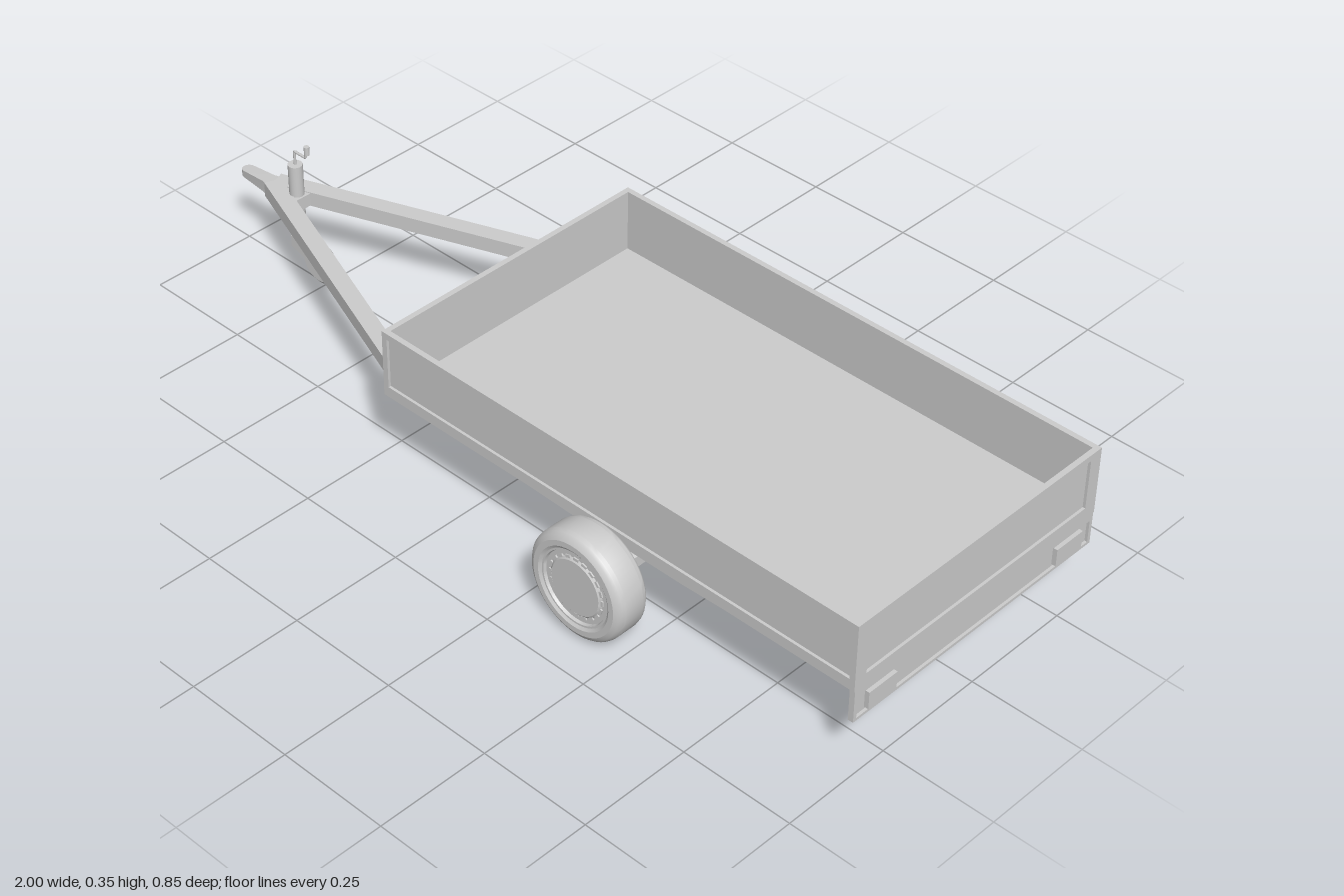
import * as THREE from 'three';
import { toCreasedNormals } from 'three/addons/utils/BufferGeometryUtils.js';

const mat = new THREE.MeshStandardMaterial({ color: 0xcccccc });

function add(parent, name, geometry, x = 0, y = 0, z = 0) {
  const mesh = new THREE.Mesh(geometry, mat);
  mesh.name = name;
  mesh.position.set(x, y, z);
  parent.add(mesh);
  return mesh;
}

const box = (w, h, d) => new THREE.BoxGeometry(w, h, d);

// Solid of revolution around the z axis, from [radius, z] pairs with z rising
function turned(profile, segments = 40) {
  const points = profile.map(([r, z]) => new THREE.Vector2(r, z));
  const g = new THREE.LatheGeometry(points, segments).rotateX(Math.PI / 2);
  return toCreasedNormals(g, 0.5);
}

// Sheet panel facing +z with a raised rim; outer face at z = 0
function framedPanel(name, w, h, side, bottom, top, thick) {
  const group = new THREE.Group();
  group.name = name;
  const shape = new THREE.Shape();
  shape.moveTo(-w / 2, 0).lineTo(w / 2, 0).lineTo(w / 2, h).lineTo(-w / 2, h).closePath();
  const a = w / 2 - side, t = h - top;
  const hole = new THREE.Path();
  hole.moveTo(-a, bottom).lineTo(-a, t).lineTo(a, t).lineTo(a, bottom).closePath();
  shape.holes.push(hole);
  const rim = new THREE.ExtrudeGeometry(shape, { depth: thick, bevelEnabled: false });
  add(group, name + 'Rim', rim, 0, 0, -thick);
  add(group, name + 'Sheet', box(2 * a, t - bottom, thick * 0.5), 0, (t + bottom) / 2, -thick * 0.75);
  return group;
}

// Square beam between two points in plan
function beam(parent, name, x0, z0, x1, z1, y, h, w) {
  const m = add(parent, name, box(Math.hypot(x1 - x0, z1 - z0), h, w), (x0 + x1) / 2, y, (z0 + z1) / 2);
  m.rotation.y = -Math.atan2(z1 - z0, x1 - x0);
  return m;
}

function buildTray() {
  const tray = new THREE.Group();
  tray.name = 'tray';
  const X0 = -0.195, X1 = 0.995, Z = 0.338, cx = (X0 + X1) / 2;
  add(tray, 'floor', box(X1 - X0 - 0.01, 0.012, 2 * Z - 0.01), cx, 0.206, 0);
  for (const s of [1, -1]) {
    const side = framedPanel('sideWall', X1 - X0, 0.152, 0.013, 0.024, 0.014, 0.012);
    side.position.set(cx, 0.199, s * Z);
    side.rotation.y = s > 0 ? 0 : Math.PI;
    const end = framedPanel(s > 0 ? 'tailgate' : 'frontWall', 2 * Z, 0.152, 0.03, 0.026, 0.014, 0.012);
    end.position.set(s > 0 ? X1 : X0, 0.199, 0);
    end.rotation.y = s * Math.PI / 2;
    tray.add(side, end);
  }
  return tray;
}

function buildChassis() {
  const chassis = new THREE.Group();
  chassis.name = 'chassis';
  for (const s of [1, -1]) {
    beam(chassis, 'sideRail', -0.19, s * 0.285, 0.95, s * 0.285, 0.181, 0.036, 0.04);
    beam(chassis, 'drawbar', -0.9, s * 0.006, -0.175, s * 0.28, 0.181, 0.034, 0.038);
    // Shallow strengthening plate beneath each rail
    const plate = new THREE.Shape();
    plate.moveTo(-0.1, 0.166).lineTo(0.27, 0.154).lineTo(0.56, 0.154).lineTo(0.9, 0.166).closePath();
    const g = new THREE.ExtrudeGeometry(plate, { depth: 0.036, bevelEnabled: false });
    add(chassis, 'railPlate', g, 0, 0, s * 0.285 - 0.018);
  }
  for (const x of [-0.17, 0.93]) beam(chassis, 'crossMember', x, -0.275, x, 0.275, 0.181, 0.034, 0.04);

  // Axle with stub hubs
  const axle = new THREE.CylinderGeometry(0.034, 0.034, 0.67, 8).rotateY(Math.PI / 8).rotateX(Math.PI / 2);
  add(chassis, 'axle', toCreasedNormals(axle, 0.3), 0.4, 0.122, 0);
  const stub = new THREE.CylinderGeometry(0.026, 0.026, 0.72, 20).rotateX(Math.PI / 2);
  add(chassis, 'axleStub', stub, 0.4, 0.122, 0);

  // Tapered coupling head with a rounded nose
  const head = new THREE.Shape();
  head.moveTo(-0.84, -0.035).lineTo(-0.84, 0.035).lineTo(-0.92, 0.016).lineTo(-0.985, 0.014);
  head.quadraticCurveTo(-1, 0.012, -1, 0).quadraticCurveTo(-1, -0.012, -0.985, -0.014);
  head.lineTo(-0.92, -0.016).closePath();
  const g = new THREE.ExtrudeGeometry(head, { depth: 1, bevelEnabled: false }).rotateX(-Math.PI / 2);
  const p = g.attributes.position;
  for (let i = 0; i < p.count; i++) {
    const k = Math.min(1, (p.getX(i) + 1) / 0.13);
    p.setY(i, 0.178 + (p.getY(i) - 0.5) * (0.014 + 0.022 * k));
  }
  add(chassis, 'couplingHead', toCreasedNormals(g, 0.5));
  return chassis;
}

function buildLightBoard() {
  const board = new THREE.Group();
  board.name = 'lightBoard';
  const panel = framedPanel('lightPanel', 0.672, 0.074, 0.008, 0.006, 0.017, 0.012);
  panel.position.set(0.995, 0.126, 0);
  panel.rotation.y = Math.PI / 2;
  board.add(panel);
  for (const s of [1, -1]) add(board, 'tailLight', box(0.01, 0.039, 0.076), 0.995, 0.158, s * 0.264);
  return board;
}

function buildWheel(s) {
  const wheel = new THREE.Group();
  wheel.name = 'wheel';
  const half = [[0.084, 0.037], [0.09, 0.041], [0.102, 0.041], [0.111, 0.036], [0.116, 0.03], [0.118, 0.022]];
  const tyre = [...half.map(([r, z]) => [r, -z]), ...half.slice().reverse(), [0.084, -0.037]];
  add(wheel, 'tyre', turned(tyre, 56));
  const disc = [[0, 0.036], [0.06, 0.036], [0.066, 0.031], [0.078, 0.031], [0.08, 0.037], [0.086, 0.037]];
  add(wheel, 'rim', turned([...disc.map(([r, z]) => [r, -z]), ...disc.slice().reverse()], 56));
  // Ring of small vent bars on both faces
  for (let i = 0; i < 20; i++) {
    const a = i / 20 * Math.PI * 2;
    const bar = add(wheel, 'rimVent', box(0.006, 0.012, 0.068), Math.cos(a) * 0.066, Math.sin(a) * 0.066, 0);
    bar.rotation.z = a;
  }
  wheel.position.set(0.4, 0.122, s * 0.384);
  return wheel;
}

function buildJockeyWheel() {
  const jockey = new THREE.Group();
  jockey.name = 'jockeyWheel';
  const X = -0.83;
  add(jockey, 'outerTube', new THREE.CylinderGeometry(0.016, 0.016, 0.17, 20), X, 0.185, 0);
  add(jockey, 'innerTube', new THREE.CylinderGeometry(0.012, 0.012, 0.06, 20), X, 0.095, 0);
  add(jockey, 'tubeClamp', box(0.04, 0.03, 0.044), X, 0.181, 0);

  // Fork reaching back to the small wheel
  add(jockey, 'forkCrown', box(0.03, 0.022, 0.034), X + 0.007, 0.08, 0);
  const arm = new THREE.Shape();
  arm.moveTo(X - 0.008, 0.066).lineTo(-0.768, 0.046).lineTo(-0.757, 0.056);
  arm.lineTo(-0.775, 0.074).lineTo(X + 0.022, 0.093).lineTo(X - 0.008, 0.093).closePath();
  for (const s of [1, -1]) {
    const g = new THREE.ExtrudeGeometry(arm, { depth: 0.004, bevelEnabled: false });
    add(jockey, 'forkArm', g, 0, 0, s * 0.015 - 0.002);
  }
  add(jockey, 'smallWheel', turned([[0, -0.01], [0.043, -0.01], [0.05, -0.005], [0.05, 0.005], [0.043, 0.01], [0, 0.01]]), -0.765, 0.052, 0);
  add(jockey, 'smallAxle', turned([[0, -0.018], [0.006, -0.018], [0.006, 0.018], [0, 0.018]], 16), -0.765, 0.052, 0);

  // Bent crank and its grip
  const bend = new THREE.CurvePath();
  const pts = [[X, 0.265], [X, 0.302], [-0.795, 0.302], [-0.792, 0.322]].map(([x, y]) => new THREE.Vector3(x, y, 0));
  for (let i = 0; i < 3; i++) bend.add(new THREE.LineCurve3(pts[i], pts[i + 1]));
  add(jockey, 'crank', new THREE.TubeGeometry(bend, 30, 0.003, 8));
  add(jockey, 'crankGrip', new THREE.CylinderGeometry(0.006, 0.006, 0.02, 12), -0.79, 0.322, 0);
  return jockey;
}

export function createModel() {
  const trailer = new THREE.Group();
  trailer.name = 'trailer';
  trailer.add(buildTray(), buildChassis(), buildLightBoard(), buildJockeyWheel());
  for (const s of [1, -1]) trailer.add(buildWheel(s));
  // Stand on the ground: the lowest point of every wheel is close to zero
  trailer.position.y = -0.002;
  const model = new THREE.Group();
  model.name = 'model';
  model.add(trailer);
  return model;
}
